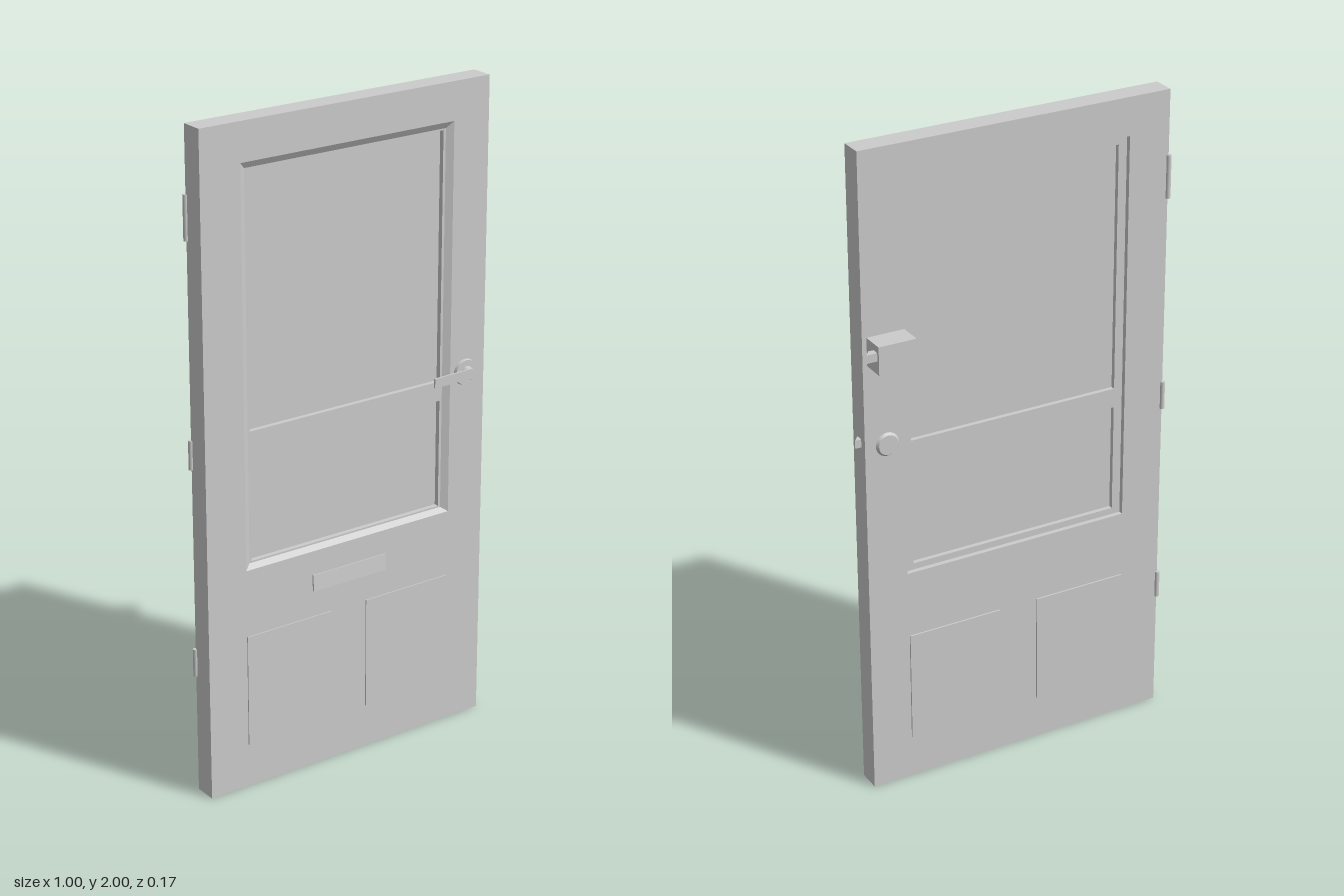
import * as THREE from 'three';

const mat = new THREE.MeshStandardMaterial({ color: 0xcccccc });
const flat = new THREE.MeshStandardMaterial({ color: 0xcccccc, flatShading: true, side: THREE.DoubleSide });

export function createModel() {
  const door = new THREE.Group();
  door.name = 'door';

  const add = (name, geometry, x = 0, y = 0, z = 0, material = mat) => {
    const mesh = new THREE.Mesh(geometry, material);
    mesh.name = name;
    mesh.position.set(x, y, z);
    door.add(mesh);
    return mesh;
  };
  const box = (name, x0, x1, y0, y1, z0, z1) =>
    add(name, new THREE.BoxGeometry(x1 - x0, y1 - y0, z1 - z0), (x0 + x1) / 2, (y0 + y1) / 2, (z0 + z1) / 2);

  const corners = (x0, x1, y0, y1) => [[x0, y0], [x1, y0], [x1, y1], [x0, y1]].map(p => new THREE.Vector2(...p));
  // Rectangular board with rectangular holes, from z0 to z1
  const board = (name, outer, holes, z0, z1) => {
    const shape = new THREE.Shape(corners(...outer));
    holes.forEach(h => shape.holes.push(new THREE.Path(corners(...h).reverse())));
    add(name, new THREE.ExtrudeGeometry(shape, { depth: z1 - z0, bevelEnabled: false }), 0, 0, z0);
  };
  // Outline extruded along an axis, used for wedges
  const wedge = (points, depth) =>
    new THREE.ExtrudeGeometry(new THREE.Shape(points.map(p => new THREE.Vector2(...p))), { depth, bevelEnabled: false });
  // Disc or rod pointing along z
  const disc = (name, r0, r1, x, y, z0, z1) => {
    const g = new THREE.CylinderGeometry(r1, r0, z1 - z0, 32).rotateX(Math.PI / 2);
    return add(name, g, x, y, (z0 + z1) / 2);
  };

  // Slab and glazed frame
  const back = -0.015, front = 0.055;
  const opening = [-0.365, 0.358, 0.69, 1.885];
  const panes = [[-0.338, 0.33, 1.105, 1.86], [-0.338, 0.33, 0.71, 1.045]];
  board('slab', [-0.495, 0.482, 0, 2], [opening], back, front);
  board('sash', opening, panes, 0, 0.042);
  panes.forEach(p => box('glass', ...p, 0.014, 0.027));

  // Sloped moulding around the front of the opening
  const o = corners(...opening);
  const i = corners(opening[0] + 0.02, opening[1] - 0.02, opening[2] + 0.015, opening[3] - 0.02);
  const strip = [];
  for (let k = 0; k < 4; k++) {
    const n = (k + 1) % 4;
    const a = [o[k].x, o[k].y, front], b = [o[n].x, o[n].y, front];
    const c = [i[n].x, i[n].y, 0.0425], d = [i[k].x, i[k].y, 0.0425];
    strip.push(...a, ...b, ...c, ...a, ...c, ...d);
  }
  const moulding = new THREE.BufferGeometry();
  moulding.setAttribute('position', new THREE.Float32BufferAttribute(strip, 3));
  moulding.computeVertexNormals();
  add('frontMoulding', moulding, 0, 0, 0, flat);

  // Lower panels, standing slightly proud on both faces
  for (const [x0, x1] of [[-0.365, -0.07], [0.055, 0.355]])
    box('lowerPanel', x0, x1, 0.135, 0.483, -0.02, 0.0585);

  // Letter flap, leaning out at its lower edge
  const flap = wedge([[-0.054, 0.565], [-0.062, 0.565], [-0.058, 0.615], [-0.054, 0.615]], 0.26);
  flap.rotateY(Math.PI / 2);
  flap.scale(1, 1, 1);
  add('letterFlap', flap, -0.135, 0, 0, flat);
  flap.computeBoundingBox();
  // Keep the flap on the front face whichever way its outline was turned
  if (flap.boundingBox.max.z < 0) flap.rotateY(Math.PI).translate(0.26, 0, 0);

  // Lever handle
  const hx = 0.412, hy = 1.122;
  disc('leverRose', 0.04, 0.038, hx, hy, front, 0.064);
  disc('leverNeck', 0.02, 0.017, hx, hy, 0.064, 0.082);
  const lever = new THREE.Shape();
  lever.moveTo(-0.132, -0.014);
  lever.lineTo(0, -0.014);
  lever.absarc(0, 0, 0.017, -Math.PI / 2, Math.PI / 2, false);
  lever.lineTo(-0.132, 0.014);
  add('lever', new THREE.ExtrudeGeometry(lever, { depth: 0.006, bevelEnabled: false }), hx, hy, 0.079);

  // Inside thumb turn
  disc('insideKnob', 0.03, 0.036, hx, hy, -0.023, back);

  // Rim lock on the back
  box('lockCase', 0.352, 0.468, 1.375, 1.46, -0.087, back);

  // Slanted latch bolts: longest towards the back
  const bolt = (name, x0, xBack, xFront, y0, z0, z1) => {
    const g = wedge([[x0, -z0], [x0, -z1], [xFront, -z1], [xBack, -z0]], 0.025);
    add(name, g.rotateX(-Math.PI / 2), 0, y0, 0, flat);
  };
  bolt('rimLatch', 0.46, 0.501, 0.484, 1.415, -0.078, -0.056);
  bolt('edgeLatch', 0.475, 0.501, 0.484, 1.12, 0.007, 0.028);

  // Hinge barrels
  for (const [y0, y1] of [[1.675, 1.805], [1.01, 1.097], [0.37, 0.455]])
    add('hinge', new THREE.CylinderGeometry(0.0075, 0.0075, y1 - y0, 16), -0.496, (y0 + y1) / 2, -0.0155);

  return door;
}
